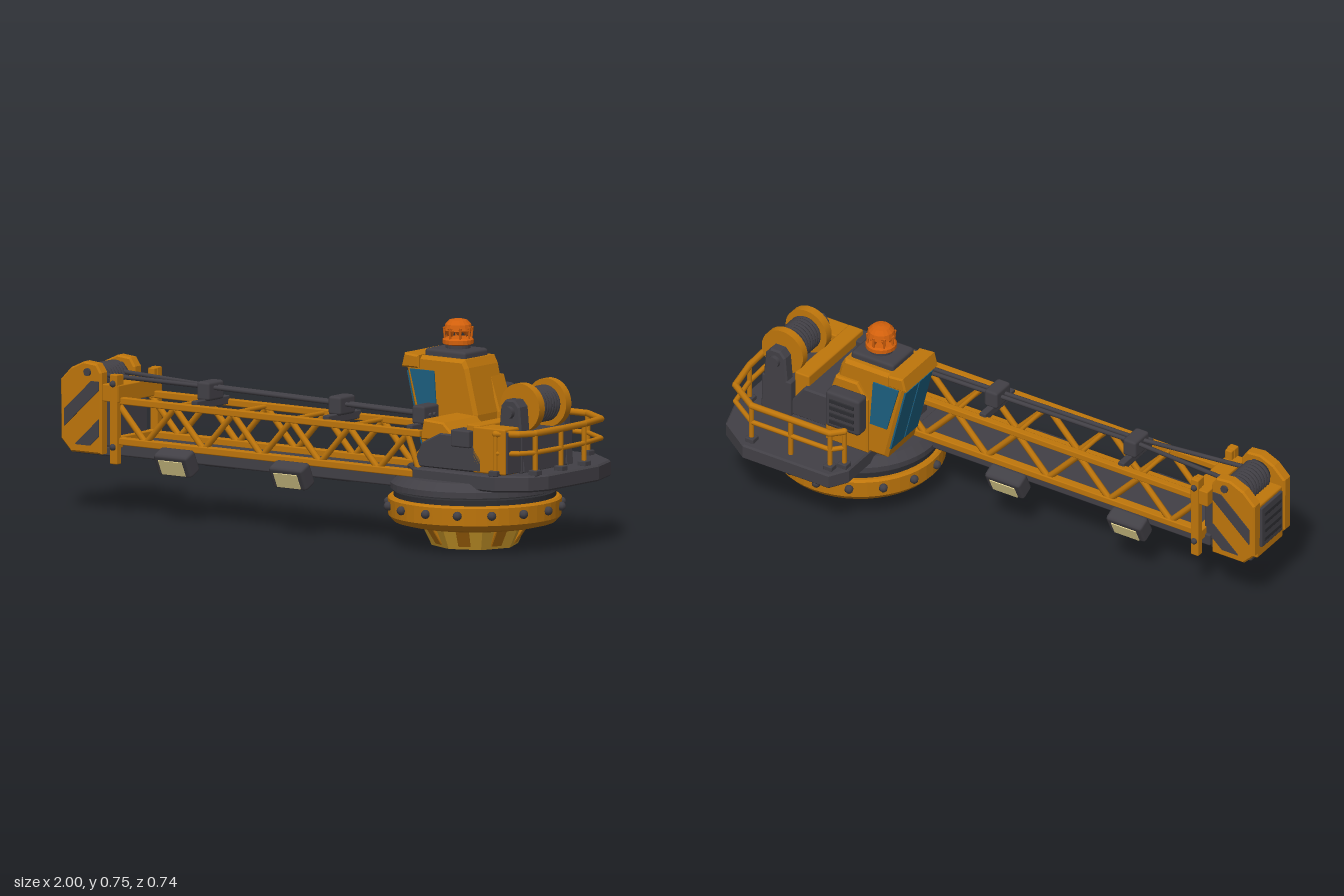
import * as THREE from 'three';
import { RoundedBoxGeometry } from 'three/addons/geometries/RoundedBoxGeometry.js';

const mat = (name, color) => {
  const m = new THREE.MeshStandardMaterial({ color, side: THREE.DoubleSide });
  m.name = name;
  return m;
};

export function createModel() {
  const M = {
    yellow: mat('machineYellow', 0xbf760b), gold: mat('pedestalGold', 0xd09c2a),
    grey: mat('darkGrey', 0x424046), black: mat('turntableBlack', 0x2d2d31),
    glass: mat('blueGlass', 0x1c5f80), beacon: mat('beaconOrange', 0xd2600c),
    lamp: mat('lampCream', 0xf0e09a),
  };
  const root = new THREE.Group();
  root.name = 'towerCraneTop';

  const add = (name, geo, m, x = 0, y = 0, z = 0) => {
    const mesh = new THREE.Mesh(geo, m);
    mesh.name = name;
    mesh.position.set(x, y, z);
    root.add(mesh);
    return mesh;
  };
  // Box given by its limits on each axis
  const box = (name, m, x0, x1, y0, y1, z0, z1, r = 0.006) =>
    add(name, new RoundedBoxGeometry(x1 - x0, y1 - y0, z1 - z0, 1, r), m,
      (x0 + x1) / 2, (y0 + y1) / 2, (z0 + z1) / 2);
  // Round bar between two points
  const rod = (name, m, a, b, r, sides = 8) => {
    const p = new THREE.Vector3(...a), q = new THREE.Vector3(...b), d = q.clone().sub(p);
    const mesh = add(name, new THREE.CylinderGeometry(r, r, d.length(), sides), m);
    mesh.position.copy(p).add(q).multiplyScalar(0.5);
    mesh.quaternion.setFromUnitVectors(new THREE.Vector3(0, 1, 0), d.normalize());
    return mesh;
  };
  const shape = (pts) => new THREE.Shape(pts.map((p) => new THREE.Vector2(...p)));
  // Side profile in x,y extruded from z0 to z1
  const slab = (name, m, pts, z0, z1, bevel = 0.006) => {
    const geo = new THREE.ExtrudeGeometry(shape(pts), {
      depth: z1 - z0 - 2 * bevel, bevelEnabled: bevel > 0, bevelSize: bevel,
      bevelThickness: bevel, bevelOffset: -bevel, bevelSegments: 1,
    });
    return add(name, geo, m, 0, 0, z0 + bevel);
  };
  const lathe = (name, m, pts, x, z, seg = 48) => {
    const geo = new THREE.LatheGeometry(pts.map((p) => new THREE.Vector2(...p)), seg).toNonIndexed();
    geo.computeVertexNormals();
    return add(name, geo, m, x, 0, z);
  };

  // Pedestal and slewing ring
  const CX = 0.62, CZ = 0.053;
  const cone = new THREE.CylinderGeometry(0.188, 0.15, 0.08, 8).toNonIndexed();
  cone.computeVertexNormals();
  add('pedestalCone', cone, M.gold, CX, 0.04, CZ);
  for (let i = 0; i < 8; i++) {
    const rib = slab('pedestalRib', M.yellow, [[0.12, 0.01], [0.146, 0.01], [0.192, 0.08], [0.12, 0.08]], -0.022, 0.022, 0.003);
    rib.position.set(CX, 0, CZ);
    rib.rotation.y = ((i + 0.5) / 8) * Math.PI * 2;
    rib.translateZ(-0.019);
  }
  lathe('slewingRing', M.yellow, [[0, 0.075], [0.24, 0.075], [0.28, 0.085], [0.298, 0.105], [0.3, 0.165], [0.292, 0.172], [0, 0.172]], CX, CZ);
  for (let i = 0; i < 16; i++) {
    const a = (i / 16) * Math.PI * 2 - 0.05;
    add('ringBolt', new THREE.SphereGeometry(0.016, 8, 6), M.grey,
      CX + 0.304 * Math.cos(a), 0.14, CZ + 0.304 * Math.sin(a));
  }
  lathe('turntableNeck', M.black, [[0.28, 0.17], [0.28, 0.19], [0.27, 0.193], [0.27, 0.205]], CX, CZ);
  lathe('turntable', M.grey, [[0, 0.2], [0.292, 0.2], [0.292, 0.22], [0.265, 0.248], [0, 0.248]], CX, CZ);

  // Platform deck
  const deck = [[0.44, 0.3], [0.48, 0.368], [0.83, 0.368], [0.955, 0.28], [0.995, 0.16],
    [0.995, -0.13], [0.965, -0.205], [0.87, -0.275], [0.52, -0.275], [0.44, -0.2]];
  const deckGeo = new THREE.ExtrudeGeometry(shape(deck), {
    depth: 0.045, bevelSize: 0.006, bevelThickness: 0.006, bevelOffset: -0.006, bevelSegments: 1 });
  deckGeo.rotateX(-Math.PI / 2);
  add('platformDeck', deckGeo, M.grey, 0, 0.232, 0);

  // Railing round the deck
  const rail = [[0.465, -0.29], [0.5, -0.327], [0.82, -0.327], [0.935, -0.25], [0.96, -0.12],
    [0.965, 0.02], [0.96, 0.16], [0.93, 0.215], [0.86, 0.255]];
  rail.forEach(([x, z], i) => {
    if (i !== 3 && i !== 7) {
      rod('railPost', M.yellow, [x, 0.285, z], [x, 0.43, z], 0.009);
      box('railFoot', M.grey, x - 0.018, x + 0.018, 0.28, 0.3, z - 0.018, z + 0.018, 0.004);
    }
    for (const [y, r] of [[0.427, 0.012], [0.36, 0.009]]) {
      add('railJoint', new THREE.SphereGeometry(r, 8, 6), M.yellow, x, y, z);
      if (i) rod('railBar', M.yellow, [rail[i - 1][0], y, rail[i - 1][1]], [x, y, z], r);
    }
  });
  rod('railPost', M.yellow, [0.66, 0.285, -0.327], [0.66, 0.43, -0.327], 0.009);

  // Operator cab
  slab('cabBody', M.yellow, [[0.37, 0.28], [0.297, 0.58], [0.31, 0.628], [0.545, 0.628], [0.56, 0.6], [0.6, 0.44], [0.6, 0.28]], -0.17, 0.02, 0.012);
  slab('cabVisor', M.yellow, [[0.287, 0.585], [0.3, 0.635], [0.36, 0.63], [0.36, 0.585]], -0.178, 0.034);
  slab('cabRear', M.yellow, [[0.44, 0.285], [0.44, 0.5], [0.48, 0.56], [0.57, 0.56], [0.61, 0.44], [0.61, 0.285]], -0.185, -0.1);
  const pane = [[0.366, 0.405], [0.318, 0.58], [0.422, 0.58], [0.435, 0.405]];
  slab('cabWindowLeft', M.glass, pane, 0.018, 0.025, 0);
  slab('cabWindowRight', M.glass, pane, -0.175, -0.168, 0);
  for (const z of [-0.12, -0.03]) {
    const win = add('cabWindscreen', new THREE.BoxGeometry(0.009, 0.26, 0.082), M.glass, 0.331, 0.445, z);
    win.rotation.z = Math.atan2(0.073, 0.3);
  }
  box('cabRoofBox', M.grey, 0.36, 0.535, 0.615, 0.652, -0.142, -0.002, 0.012);
  // Cooling unit on the back of the cab
  box('coolingUnit', M.grey, 0.44, 0.58, 0.38, 0.525, -0.237, -0.18, 0.012);
  for (let i = 0; i < 4; i++)
    box('coolingSlat', M.black, 0.46, 0.56, 0.4 + i * 0.028, 0.415 + i * 0.028, -0.241, -0.235, 0.002);

  // Warning beacon with open cage
  const BX = 0.45, BZ = -0.078;
  lathe('beaconNeck', M.grey, [[0.043, 0.65], [0.043, 0.668], [0, 0.668]], BX, BZ, 20);
  lathe('beaconBase', M.beacon, [[0.045, 0.664], [0.054, 0.668], [0.054, 0.682], [0.047, 0.688], [0, 0.688]], BX, BZ, 20);
  lathe('beaconDome', M.beacon, [[0.05, 0.714], [0.045, 0.735], [0.031, 0.749], [0.01, 0.754], [0, 0.754]], BX, BZ, 16);
  for (let i = 0; i < 8; i++) {
    const a = (i / 8) * Math.PI * 2, c = Math.cos(a), s = Math.sin(a);
    rod('beaconBar', M.beacon, [BX + 0.046 * c, 0.685, BZ + 0.046 * s], [BX + 0.05 * c, 0.725, BZ + 0.05 * s], 0.004, 6);
    const spike = add('beaconSpike', new THREE.ConeGeometry(0.016, 0.03, 5), M.beacon, BX + 0.036 * c, 0.706, BZ + 0.036 * s);
    spike.rotation.x = Math.PI;
  }

  // Machinery house behind the boom
  slab('machineryBase', M.grey, [[0.5, 0.285], [0.54, 0.37], [0.62, 0.41], [0.74, 0.41], [0.8, 0.33], [0.8, 0.285]], -0.12, 0.255);
  slab('machineryHood', M.yellow, [[0.53, 0.38], [0.545, 0.45], [0.63, 0.445], [0.68, 0.4], [0.68, 0.38]], 0.05, 0.25);
  box('controlBox', M.grey, 0.68, 0.76, 0.37, 0.43, 0.2, 0.275);
  box('engineCover', M.yellow, 0.73, 0.79, 0.285, 0.45, -0.1, 0.25);
  box('engineBox', M.yellow, 0.76, 0.9, 0.285, 0.445, 0.17, 0.255);
  box('engineEndPanel', M.grey, 0.894, 0.906, 0.288, 0.435, 0.172, 0.248, 0.003);

  // Winch
  const WX = 0.85, WY = 0.5;
  box('winchBed', M.grey, 0.785, 0.905, 0.28, 0.42, -0.13, 0.165);
  for (const [z0, z1] of [[0.105, 0.16], [-0.13, -0.085]])
    slab('winchSupport', M.grey, [[0.79, 0.285], [0.81, 0.51], [0.83, 0.533], [0.87, 0.533], [0.89, 0.51], [0.91, 0.285]], z0, z1);
  for (const [z0, z1] of [[0.07, 0.102], [-0.082, -0.052]])
    rod('winchFlange', M.yellow, [WX, WY, z0], [WX, WY, z1], 0.084, 32);
  rod('winchAxle', M.grey, [WX, 0.49, -0.145], [WX, 0.49, 0.177], 0.022, 12);
  rod('winchDrum', M.black, [WX, WY, -0.06], [WX, WY, 0.08], 0.055, 24);
  for (let i = 0; i < 8; i++)
    add('winchRope', new THREE.TorusGeometry(0.055, 0.0085, 6, 28), M.grey, WX, WY, -0.044 + i * 0.0152);

  // Lattice boom
  box('boomFloor', M.grey, -0.8, 0.42, 0.205, 0.25, 0.065, 0.245);
  for (const z of [0.058, 0.252]) {
    box('boomTopChord', M.yellow, -0.77, 0.54, 0.388, 0.412, z - 0.013, z + 0.013, 0.004);
    box('boomLowerChord', M.yellow, -0.77, 0.52, 0.247, 0.272, z - 0.016, z + 0.016, 0.004);
    for (let i = 0; i < 5; i++) {
      const x = -0.77 + i * 0.25;
      rod('boomBrace', M.yellow, [x, 0.395, z], [x + 0.125, 0.26, z], 0.0115);
      rod('boomBrace', M.yellow, [x + 0.125, 0.26, z], [x + 0.25, 0.395, z], 0.0115);
    }
    rod('boomEndBrace', M.yellow, [0.48, 0.395, z], [0.53, 0.27, z], 0.011);
  }
  for (let i = 0; i < 6; i++)
    rod('boomCrossBar', M.yellow, [-0.77 + i * 0.25, 0.4, 0.058], [-0.77 + i * 0.25, 0.4, 0.252], 0.008);

  // Pendant cables converging from the head, and their guide blocks
  for (const s of [-1, 1]) {
    rod('pendantCable', M.grey, [-0.85, 0.474, 0.155 + s * 0.05], [-0.44, 0.465, 0.155 + s * 0.012], 0.008);
    rod('pendantCable', M.grey, [-0.44, 0.465, 0.155 + s * 0.012], [0.52, 0.452, 0.155 + s * 0.012], 0.008);
  }
  for (const x of [-0.44, 0.125, 0.485]) {
    box('cableGuide', M.grey, x - 0.027, x + 0.027, 0.42, 0.486, 0.11, 0.202, 0.01);
    box('guideBeam', M.grey, x - 0.013, x + 0.013, 0.395, 0.425, 0.06, 0.25, 0.004);
  }

  // Work lamps on both sides, tilted down
  for (const x of [-0.495, 0]) for (const s of [1, -1]) {
    const lamp = new THREE.Group();
    lamp.name = 'workLamp';
    const body = new THREE.Mesh(new RoundedBoxGeometry(0.145, 0.085, 0.06, 1, 0.012), M.grey);
    body.name = 'lampHousing';
    const face = new THREE.Mesh(new THREE.BoxGeometry(0.1, 0.056, 0.008), M.lamp);
    face.name = 'lampFace';
    face.position.set(0, -0.004, 0.029);
    lamp.add(body, face);
    lamp.position.set(x, 0.21, 0.152 + s * 0.125);
    lamp.rotation.set(0.45, s > 0 ? 0 : Math.PI, 0, 'YXZ');
    root.add(lamp);
  }

  // Frame where the boom meets its head
  for (const [z, s] of [[0.035, 1], [0.268, -1]]) {
    box('headFramePost', M.yellow, -0.78, -0.748, 0.18, 0.492, z - 0.014, z + 0.014, 0.004);
    const inner = z + s * 0.03;
    box('headFrameGusset', M.yellow, -0.778, -0.75, 0.4, 0.49, Math.min(z, inner), Math.max(z, inner), 0.004);
  }
  box('headFrameTop', M.yellow, -0.815, -0.745, 0.395, 0.455, 0.025, 0.278, 0.004);
  box('headFrameBottom', M.yellow, -0.78, -0.75, 0.235, 0.275, 0.03, 0.275, 0.004);
  for (const z of [0.02, 0.283]) for (const y of [0.24, 0.46])
    add('frameBolt', new THREE.SphereGeometry(0.012, 8, 6), M.grey, -0.764, y, z);

  // Boom head with striped cheeks
  const cheek = [[-0.955, 0.207], [-0.998, 0.25], [-1, 0.455], [-0.955, 0.5], [-0.9, 0.525], [-0.845, 0.52], [-0.825, 0.49], [-0.825, 0.207]];
  const stripes = [
    [[-0.98, 0.295], [-0.98, 0.355], [-0.865, 0.46], [-0.832, 0.46], [-0.832, 0.43]],
    [[-0.935, 0.235], [-0.832, 0.33], [-0.832, 0.27], [-0.87, 0.235]],
  ];
  for (const [z0, z1, face] of [[0.035, 0.078, 0.031], [0.228, 0.271, 0.27]]) {
    slab('headCheek', M.yellow, cheek, z0, z1);
    for (const st of stripes) slab('hazardStripe', M.grey, st, face, face + 0.005, 0);
  }
  box('headCore', M.yellow, -0.99, -0.83, 0.22, 0.43, 0.07, 0.235);
  box('headGrille', M.grey, -1, -0.985, 0.26, 0.42, 0.085, 0.22, 0.004);
  for (let i = 0; i < 4; i++)
    box('grilleSlat', M.black, -1.003, -0.996, 0.28 + i * 0.034, 0.295 + i * 0.034, 0.1, 0.205, 0.002);
  box('headFoot', M.grey, -0.965, -0.8, 0.198, 0.23, 0.07, 0.236);
  box('headLink', M.grey, -0.84, -0.77, 0.23, 0.39, 0.075, 0.232);
  rod('headDrum', M.black, [-0.895, 0.455, 0.075], [-0.895, 0.455, 0.232], 0.048, 20);
  for (let i = 0; i < 8; i++)
    add('headRope', new THREE.TorusGeometry(0.049, 0.008, 6, 24), M.grey, -0.895, 0.455, 0.096 + i * 0.0165);
  rod('headPin', M.grey, [-0.88, 0.49, 0.026], [-0.88, 0.49, 0.28], 0.014, 8);

  return root;
}
